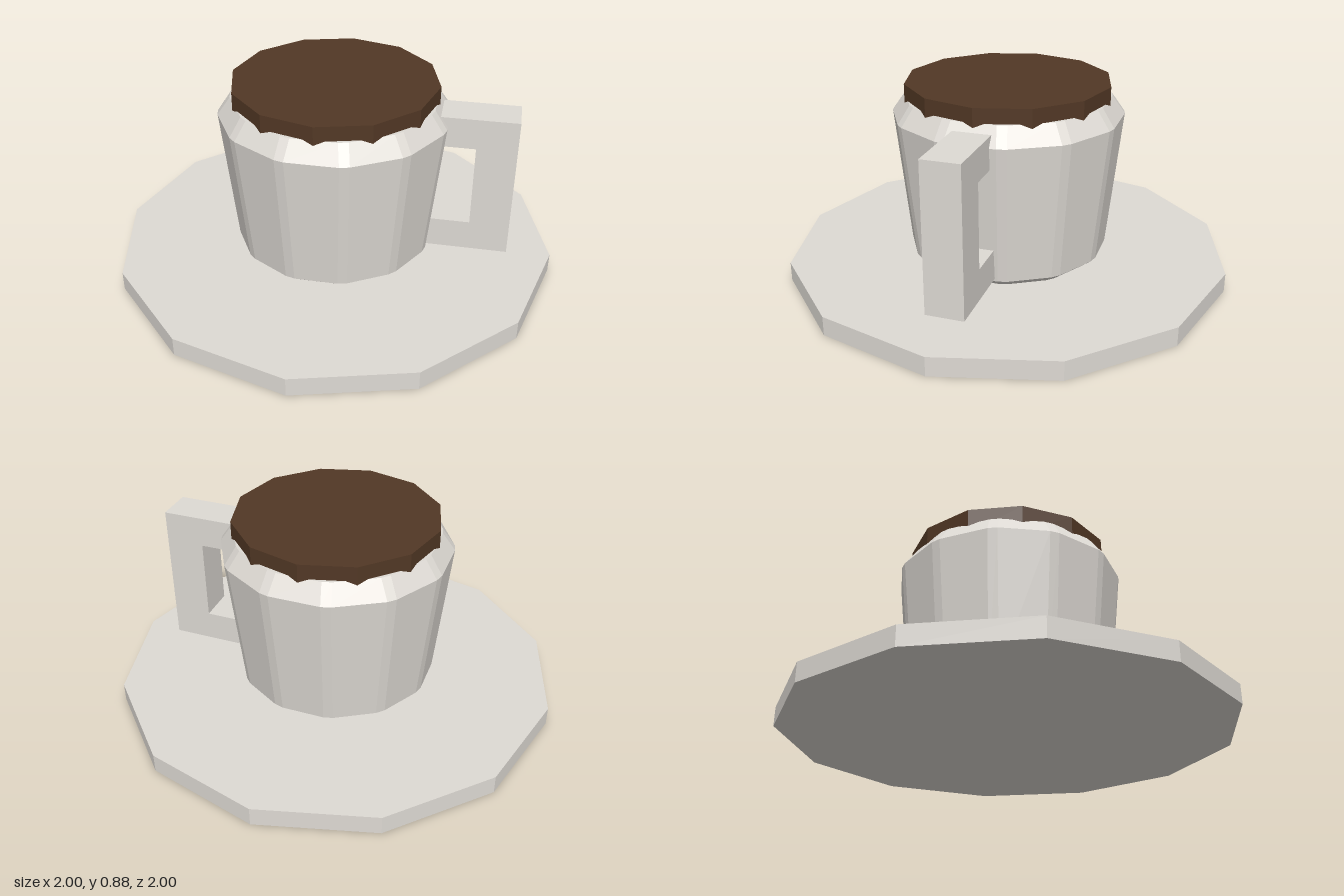
import * as THREE from 'three';

const SIDES = 12;

// Closed ring of a regular polygon with clipped corners; inner = distance to each flat
function clippedRing(inner, y, clip) {
  const points = [];
  const half = inner * Math.tan(Math.PI / SIDES) - clip;
  for (let k = 0; k < SIDES; k++) {
    const a = (k / SIDES) * Math.PI * 2;
    for (const t of [-half, half]) {
      points.push([
        inner * Math.sin(a) + t * Math.cos(a),
        y,
        inner * Math.cos(a) - t * Math.sin(a),
      ]);
    }
  }
  return points;
}

// Joins rings from bottom to top and caps both ends
function loft(rings) {
  const pos = [];
  const tri = (a, b, c) => pos.push(...a, ...b, ...c);
  const n = rings[0].length;
  const first = rings[0];
  const last = rings[rings.length - 1];
  for (let i = 0; i < n; i++) {
    const j = (i + 1) % n;
    for (let r = 0; r < rings.length - 1; r++) {
      const lo = rings[r];
      const hi = rings[r + 1];
      tri(lo[i], lo[j], hi[j]);
      tri(lo[i], hi[j], hi[i]);
    }
    tri([0, first[0][1], 0], first[j], first[i]);
    tri([0, last[0][1], 0], last[i], last[j]);
  }
  const geometry = new THREE.BufferGeometry();
  geometry.setAttribute('position', new THREE.Float32BufferAttribute(pos, 3));
  geometry.computeVertexNormals();
  return geometry;
}

export function createModel() {
  const group = new THREE.Group();
  const ceramic = new THREE.MeshStandardMaterial({ color: 0xdedad4, flatShading: true });
  ceramic.name = 'ceramic';
  const coffeeBrown = new THREE.MeshStandardMaterial({ color: 0x523825, flatShading: true });
  coffeeBrown.name = 'coffeeBrown';

  const add = (name, geometry, material, y = 0) => {
    const mesh = new THREE.Mesh(geometry, material);
    mesh.name = name;
    mesh.position.y = y;
    group.add(mesh);
  };

  // Flat twelve-sided saucer
  add('saucer', new THREE.CylinderGeometry(1, 1, 0.085, SIDES), ceramic, 0.0425);

  // Tapered cup body with bevelled foot, rim and corners
  const profile = [[0.385, 0.08], [0.437, 0.122], [0.5, 0.74], [0.445, 0.82]];
  add('cup', loft(profile.map(([r, y]) => clippedRing(r, y, 0.022))), ceramic);

  // Coffee disc, its corners overhanging the rim
  add('coffee', new THREE.CylinderGeometry(0.457, 0.457, 0.125, SIDES), coffeeBrown, 0.8225);

  // Square handle on the left side, ends sunk into the cup
  const outline = [
    [0.41, 0.135], [0.8, 0.135], [0.8, 0.786], [0.41, 0.786],
    [0.41, 0.647], [0.625, 0.647], [0.625, 0.273], [0.41, 0.273],
  ];
  const shape = new THREE.Shape(outline.map(([x, y]) => new THREE.Vector2(x, y)));
  const handle = new THREE.ExtrudeGeometry(shape, { depth: 0.166, bevelEnabled: false });
  handle.translate(0, 0, -0.083);
  add('handle', handle, ceramic);

  return group;
}
